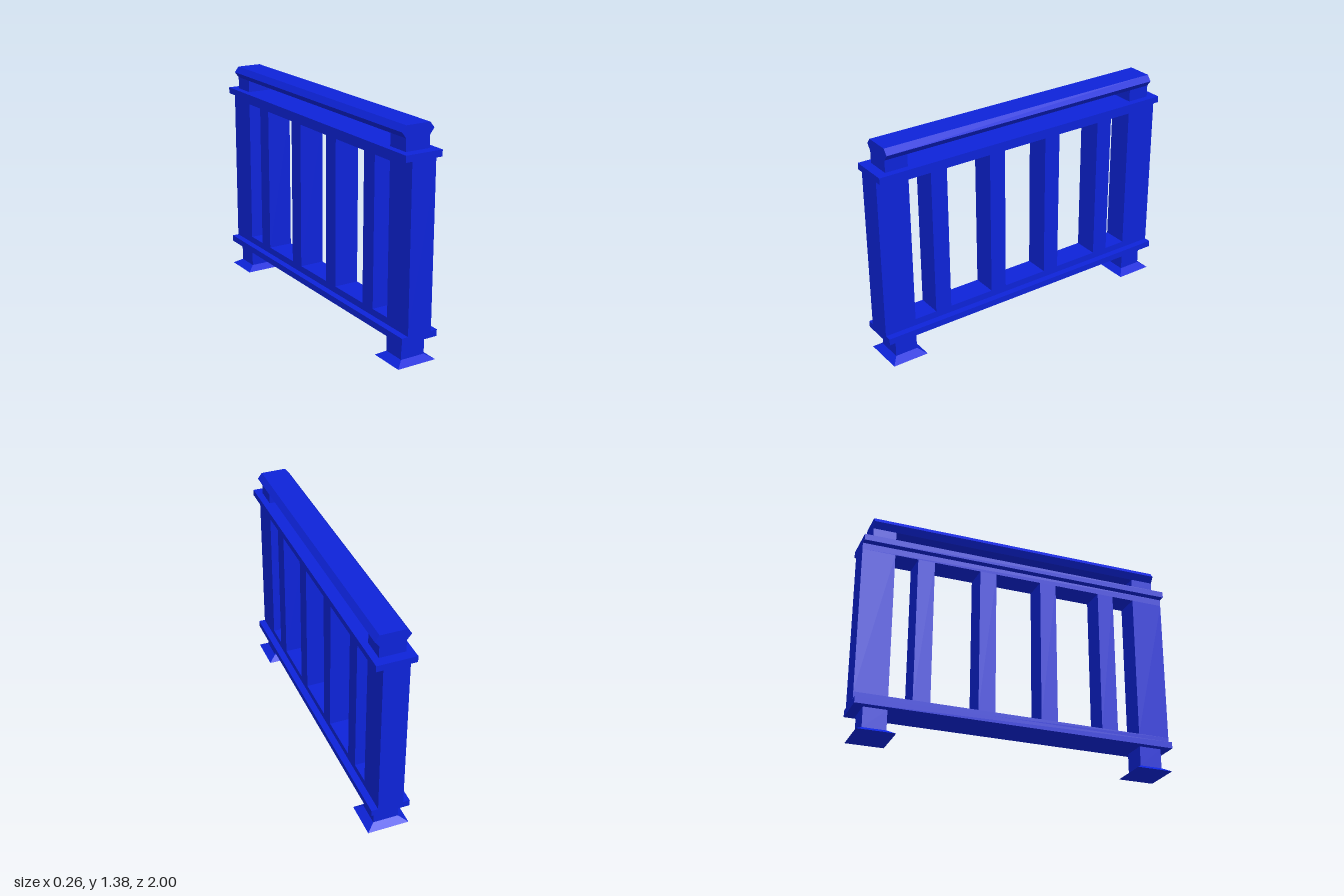
import * as THREE from 'three';

const material = new THREE.MeshStandardMaterial({ color: 0x0d23d9, flatShading: true });

export function createModel() {
  const model = new THREE.Group();
  model.name = 'railing';

  const add = (name, geometry) => {
    const mesh = new THREE.Mesh(geometry, material);
    mesh.name = name;
    model.add(mesh);
    return mesh;
  };
  // Box centred on x, given its width and its y and z ranges
  const box = (name, width, y0, y1, z0, z1) =>
    add(name, new THREE.BoxGeometry(width, y1 - y0, z1 - z0))
      .position.set(0, (y0 + y1) / 2, (z0 + z1) / 2);

  const W = 0.157; // common thickness of posts, balusters and rail cores

  // Lower and upper rails: a wide flange with a narrow core facing the opening
  box('lowerRailFlange', 0.24, 0.153, 0.193, -1, 1);
  box('lowerRailCore', W, 0.193, 0.235, -1, 1);
  box('upperRailCore', W, 1.155, 1.197, -1, 1);
  box('upperRailFlange', 0.24, 1.197, 1.236, -1, 1);

  // Balusters
  for (const z of [-0.6, -0.2, 0.2, 0.6]) box('baluster', W, 0.235, 1.155, z - 0.053, z + 0.053);

  for (const s of [-1, 1]) {
    const span = (a, b) => (s > 0 ? [a, b] : [-b, -a]);
    // End post, leg below it and handrail support above it
    box('endPost', W, 0.235, 1.155, ...span(0.797, 1));
    box('leg', W, 0.03, 0.153, ...span(0.797, 0.94));
    box('handrailSupport', W, 1.236, 1.31, ...span(0.797, 0.94));

    // Flared foot: a thin box whose top is narrowed to the leg
    const foot = new THREE.BoxGeometry(0.256, 0.03, 0.23);
    const p = foot.attributes.position;
    for (let i = 0; i < p.count; i++) {
      if (p.getY(i) > 0) {
        p.setX(i, Math.sign(p.getX(i)) * W / 2);
        p.setZ(i, Math.sign(p.getZ(i)) * 0.0715);
      }
    }
    foot.computeVertexNormals();
    add('foot', foot).position.set(0, 0.015, s * 0.8685);
  }

  // Handrail with a six-sided profile
  const profile = new THREE.Shape([
    [-W / 2, 1.31], [W / 2, 1.31], [0.106, 1.346],
    [W / 2, 1.381], [-W / 2, 1.381], [-0.106, 1.346],
  ].map(([x, y]) => new THREE.Vector2(x, y)));
  add('handrail', new THREE.ExtrudeGeometry(profile, { depth: 1.88, bevelEnabled: false }))
    .position.z = -0.94;

  return model;
}
